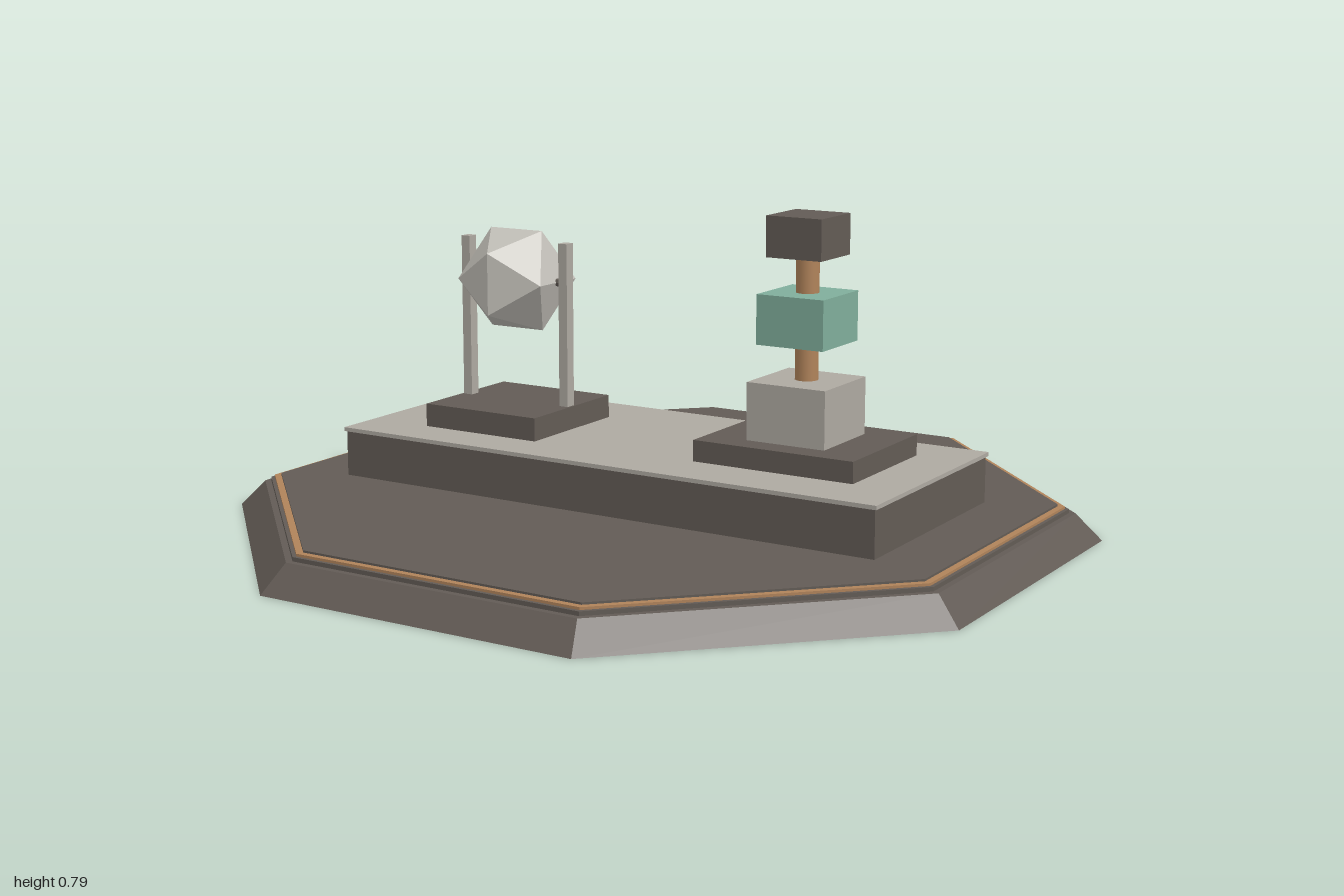
import * as THREE from 'three';

export function createModel() {
  const model = new THREE.Group();
  model.name = 'displayPlinth';

  const mat = (name, color) => {
    const m = new THREE.MeshStandardMaterial({ color, flatShading: name !== 'copper' });
    m.name = name;
    return m;
  };
  const dark = mat('darkStone', 0x625b55);
  const light = mat('paleStone', 0xaea9a1);
  const crystal = mat('paleCrystal', 0xc2bfb8);
  const copper = mat('copper', 0xb0835a);
  const green = mat('jadeGreen', 0x80ae9b);

  const add = (parent, name, geometry, material, x, y, z) => {
    const mesh = new THREE.Mesh(geometry, material);
    mesh.name = name;
    mesh.position.set(x, y, z);
    parent.add(mesh);
    return mesh;
  };
  // Box given by its bottom and top heights
  const block = (parent, name, w, d, y0, y1, material, x = 0, z = 0) =>
    add(parent, name, new THREE.BoxGeometry(w, y1 - y0, d), material, x, (y0 + y1) / 2, z);
  // Octagonal tier given by the distance from centre to its flat sides
  const tier = (name, bottom, top, y0, y1, material) => {
    const k = 1 / Math.cos(Math.PI / 8);
    const g = new THREE.CylinderGeometry(top * k, bottom * k, y1 - y0, 8).toNonIndexed();
    g.rotateY(Math.PI / 8);
    g.computeVertexNormals();
    add(model, name, g, material, 0, (y0 + y1) / 2, 0);
  };

  // Stepped octagonal base with a copper inlay
  tier('baseBevel', 1, 0.94, 0, 0.065, dark);
  tier('baseStep', 0.925, 0.925, 0.065, 0.075, dark);
  tier('baseInlay', 0.916, 0.916, 0.075, 0.081, copper);
  tier('baseTop', 0.9, 0.9, 0.081, 0.086, dark);

  // Long bench with a pale top
  block(model, 'bench', 1.485, 0.595, 0.086, 0.2, dark);
  block(model, 'benchTop', 1.495, 0.605, 0.2, 0.21, light);

  // Crystal hung between two posts
  const stand = new THREE.Group();
  stand.name = 'crystalStand';
  stand.position.set(-0.412, 0, 0.015);
  model.add(stand);
  block(stand, 'standFoot', 0.333, 0.333, 0.21, 0.268, dark);
  for (const side of [-1, 1]) {
    block(stand, 'post', 0.025, 0.028, 0.268, 0.68, light, side * 0.149);
  }
  const axle = add(stand, 'axle', new THREE.CylinderGeometry(0.01, 0.01, 0.29, 8), dark, 0, 0.58, 0);
  axle.rotation.z = Math.PI / 2;
  add(stand, 'crystal', new THREE.IcosahedronGeometry(0.148, 0), crystal, 0, 0.58, 0);

  // Blocks stacked on a copper column
  const tower = new THREE.Group();
  tower.name = 'blockTower';
  tower.position.set(0.404, 0, -0.012);
  model.add(tower);
  block(tower, 'towerFoot', 0.422, 0.335, 0.21, 0.262, dark);
  block(tower, 'lowerBlock', 0.207, 0.207, 0.262, 0.402, light);
  add(tower, 'column', new THREE.CylinderGeometry(0.028, 0.028, 0.32, 20), copper, 0, 0.55, 0);
  block(tower, 'middleBlock', 0.176, 0.176, 0.49, 0.61, green);
  block(tower, 'topBlock', 0.145, 0.145, 0.696, 0.794, dark);

  return model;
}
